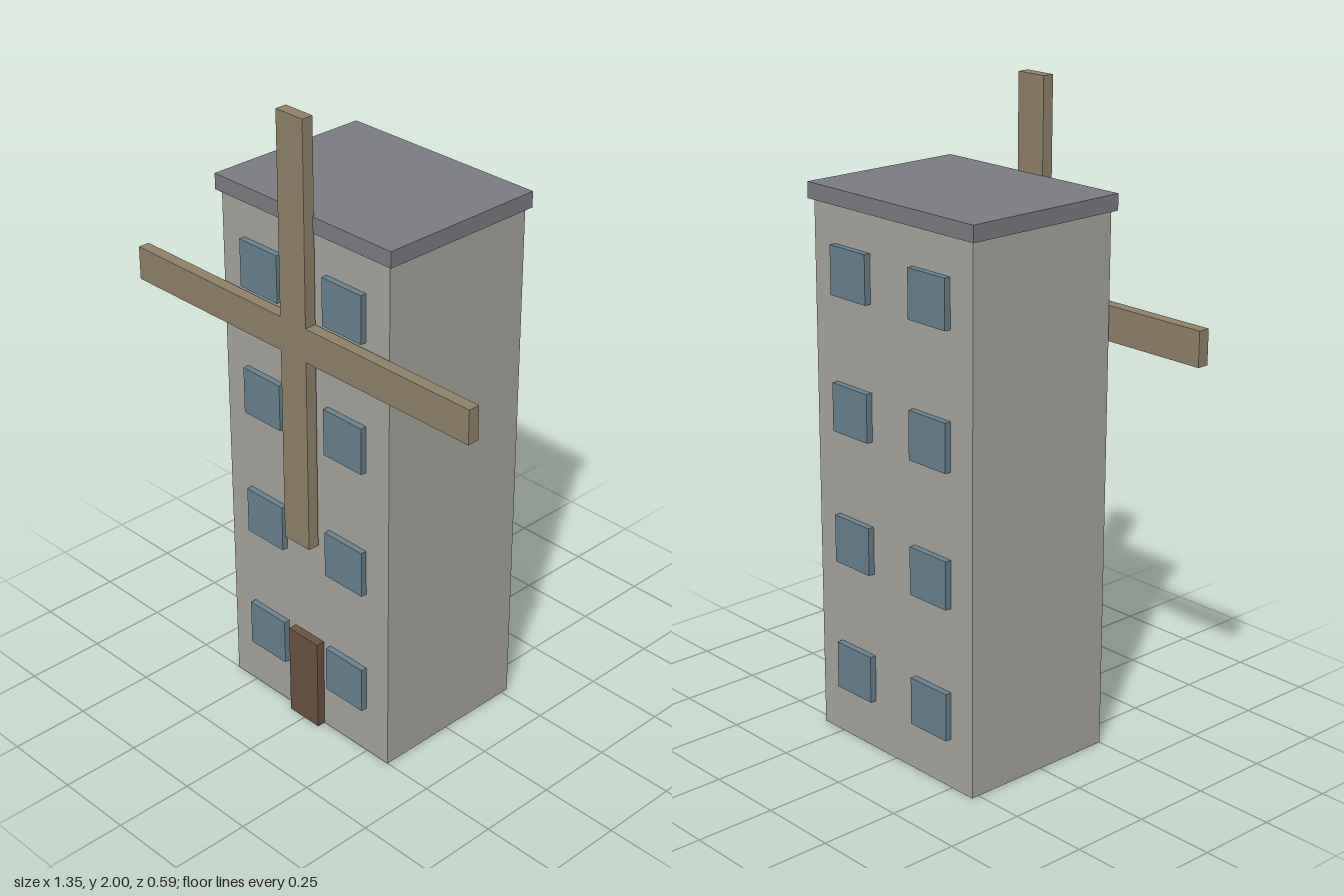
import * as THREE from 'three';

const flat = (name, color) => {
  const m = new THREE.MeshStandardMaterial({ color });
  m.name = name;
  return m;
};

export function createModel() {
  const wall = flat('wall grey', 0xa8a69f);
  const slate = flat('roof slate', 0x7c7d82);
  const glass = flat('window blue', 0x68828f);
  const brown = flat('door brown', 0x6b5342);
  const wood = flat('weathered wood', 0x908269);

  const tower = new THREE.Group();
  tower.name = 'tower';

  // Box given by its extents on each axis
  const box = (name, mat, [x0, x1], [y0, y1], [z0, z1]) => {
    const mesh = new THREE.Mesh(new THREE.BoxGeometry(x1 - x0, y1 - y0, z1 - z0), mat);
    mesh.position.set((x0 + x1) / 2, (y0 + y1) / 2, (z0 + z1) / 2);
    mesh.name = name;
    tower.add(mesh);
  };

  const front = 0.2505, back = -0.2745;

  // Main block, roof slab and door
  box('walls', wall, [-0.337, 0.337], [0, 1.66], [back, front]);
  box('roof', slate, [-0.352, 0.352], [1.66, 1.709], [-0.287, 0.2625]);
  box('door', brown, [-0.062, 0.062], [0, 0.305], [front - 0.01, 0.278]);

  // Four storeys of paired windows, front and back
  for (let floor = 0; floor < 4; floor++) {
    const y = 0.231 + floor * 0.413;
    for (const x of [-0.169, 0.169]) {
      const xs = [x - 0.077, x + 0.077], ys = [y - 0.0745, y + 0.0745];
      box('frontWindow', glass, xs, ys, [front - 0.01, 0.27]);
      box('backWindow', glass, xs, ys, [-0.295, back + 0.01]);
    }
  }

  // Crossed sails as one outline
  const w = 0.052, arm = 0.675, low = 1.274, high = 1.38, foot = 0.65, top = 2;
  const outline = new THREE.Shape([
    [-w, foot], [w, foot], [w, low], [arm, low], [arm, high], [w, high],
    [w, top], [-w, top], [-w, high], [-arm, high], [-arm, low], [-w, low],
  ].map(([x, y]) => new THREE.Vector2(x, y)));
  const sails = new THREE.Mesh(
    new THREE.ExtrudeGeometry(outline, { depth: 0.037, bevelEnabled: false }), wood);
  sails.position.z = 0.258;
  sails.name = 'crossedSails';
  tower.add(sails);

  return tower;
}
